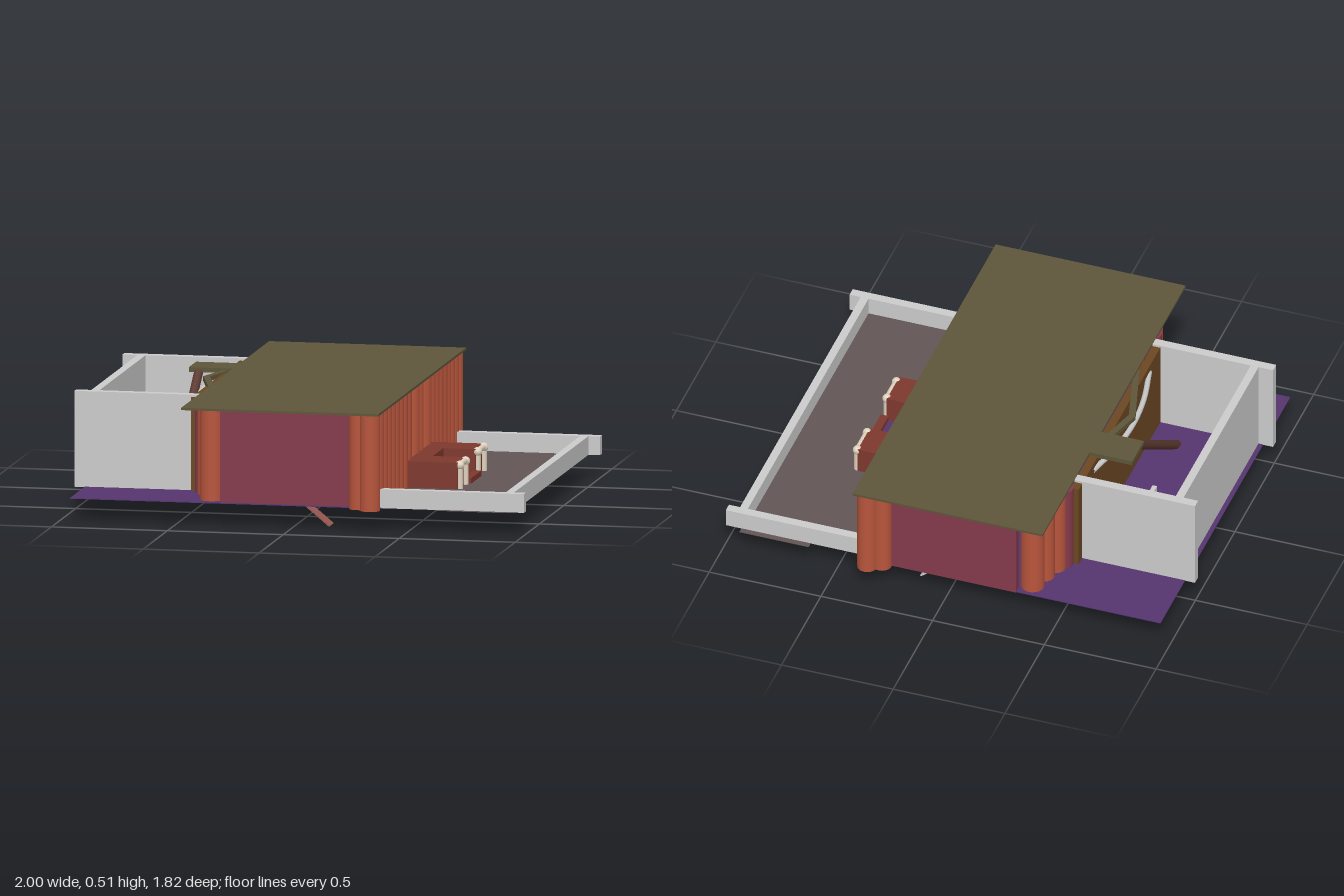
import * as THREE from 'three';

const mat = (color) => new THREE.MeshStandardMaterial({ color, side: THREE.DoubleSide });
const M = {
  grey: mat(0xcccccc), log: mat(0xb8553c), wall: mat(0x843a4c), roof: mat(0x5e563a),
  ground: mat(0x56356f), patio: mat(0x625556), brick: mat(0x7e382d), cream: mat(0xe0d2bf),
  timber: mat(0x6b4722), post: mat(0x5c3a30), plank: mat(0x9a5a52),
};

export function createModel() {
  const g = new THREE.Group();
  const add = (name, geo, m, x = 0, y = 0, z = 0) => {
    const mesh = new THREE.Mesh(geo, m);
    mesh.name = name;
    mesh.position.set(x, y, z);
    g.add(mesh);
    return mesh;
  };
  // Box given by its limits on each axis
  const box = (name, m, x0, x1, y0, y1, z0, z1) =>
    add(name, new THREE.BoxGeometry(x1 - x0, y1 - y0, z1 - z0), m,
      (x0 + x1) / 2, (y0 + y1) / 2, (z0 + z1) / 2);
  // Square or round bar between two points
  const bar = (name, m, a, b, r, sides = 12) => {
    const A = new THREE.Vector3(...a), B = new THREE.Vector3(...b);
    const d = B.clone().sub(A);
    const mesh = add(name, new THREE.CylinderGeometry(r, r, d.length(), sides), m);
    mesh.position.copy(A).add(B).multiplyScalar(0.5);
    mesh.quaternion.setFromUnitVectors(new THREE.Vector3(0, 1, 0), d.normalize());
    return mesh;
  };
  const log = (x, z, m = M.log, r = 0.043) => bar('logColumn', m, [x, 0.095, z], [x, 0.505, z], r, 20);

  // Ground and patio floor
  box('ground', M.ground, -0.955, 0.39, 0.098, 0.102, -0.815, 0.83);
  box('hearthGround', M.ground, 0.39, 0.6, 0.098, 0.103, -0.255, 0.275);
  box('patioFloor', M.patio, 0.38, 0.93, 0.1, 0.102, -0.78, 0.8);
  box('patioEdge', M.patio, 0.62, 0.93, 0.098, 0.101, -0.815, 0.83);

  // Low patio walls
  box('patioWallBack', M.grey, 0.38, 1, 0.1, 0.18, -0.79, -0.75);
  box('patioWallFront', M.grey, 0.38, 1, 0.1, 0.18, 0.78, 0.82);
  box('patioWallEnd', M.grey, 0.915, 0.95, 0.1, 0.18, -0.75, 0.78);

  // Tall courtyard walls
  box('courtWallBack', M.grey, -1, -0.46, 0.1, 0.51, -0.505, -0.465);
  box('courtWallFront', M.grey, -1, -0.46, 0.1, 0.51, 0.485, 0.525);
  box('courtWallEnd', M.grey, -0.935, -0.9, 0.1, 0.51, -0.465, 0.485);

  // Flat roof
  box('roof', M.roof, -0.46, 0.39, 0.505, 0.515, -0.91, 0.905);

  // Log facade with two recessed doors
  for (let i = 0; i < 22; i++) {
    const z = 0.86 - i * 0.0814;
    const door = (z > 0.09 && z < 0.19) || (z < -0.09 && z > -0.18);
    if (!door) log(0.345, z);
  }
  box('doorWall', M.wall, 0.29, 0.31, 0.1, 0.505, -0.78, 0.8);

  // End walls and the staggered logs at their corners
  for (const s of [-1, 1]) {
    box('endWall', M.wall, -0.31, 0.3, 0.1, 0.505, s * 0.8 - 0.02, s * 0.8 + 0.02);
    log(0.29, s * 0.82);
    log(-0.36, s * 0.75, M.log, 0.05);
    log(-0.385, s * 0.67);
    log(-0.41, s * 0.6);
    log(-0.435, s * 0.56, M.wall, 0.038);
  }

  // Timber wall facing the courtyard
  box('timberWall', M.timber, -0.495, -0.46, 0.1, 0.5, -0.55, 0.54);

  // Pointed canopy beams with a pale arch below
  for (const s of [-1, 1]) {
    const shape = new THREE.Shape([[-0.555, 0], [-0.525, 0], [-0.45, 0.27], [-0.45, 0.36]]
      .map(([x, z]) => new THREE.Vector2(x, -z * s)));
    const beam = add('canopyBeam', new THREE.ExtrudeGeometry(shape, { depth: 0.02, bevelEnabled: false }),
      M.roof, 0, 0.485, 0);
    beam.rotation.x = -Math.PI / 2;
  }
  const arch = new THREE.CatmullRomCurve3([[-0.49, -0.36], [-0.53, -0.18], [-0.545, 0], [-0.53, 0.18], [-0.49, 0.36]]
    .map(([x, z]) => new THREE.Vector3(x, 0.46, z)));
  add('canopyArch', new THREE.TubeGeometry(arch, 24, 0.012, 8), M.grey);
  box('courtLamp', M.grey, -0.645, -0.625, 0.1, 0.14, -0.02, 0.02);

  // Courtyard slab on a leaning post
  box('courtSlab', M.roof, -0.65, -0.46, 0.495, 0.515, -0.31, -0.16);
  bar('leaningPost', M.post, [-0.61, 0.5, -0.18], [-0.61, 0.08, 0.39], 0.02, 8);

  // Brick hearth around a sunken pit
  const outer = [[0.38, -0.255], [0.6, -0.255], [0.6, 0.275], [0.38, 0.275]];
  const hearth = new THREE.Shape(outer.map(([x, z]) => new THREE.Vector2(x, -z)));
  hearth.holes.push(new THREE.Path([[0.46, -0.1], [0.46, 0.115], [0.59, 0.115], [0.59, -0.1]]
    .map(([x, z]) => new THREE.Vector2(x, -z))));
  box('hearthBack', M.brick, 0.38, 0.46, 0.1, 0.215, -0.255, 0.275);
  box('hearthArm', M.brick, 0.46, 0.6, 0.1, 0.215, -0.255, -0.1);
  box('hearthArm', M.brick, 0.46, 0.6, 0.1, 0.215, 0.115, 0.275);
  const sill = add('hearthSill', new THREE.ExtrudeGeometry(hearth, { depth: 0.015, bevelEnabled: false }), M.brick, 0, 0.1, 0);
  sill.rotation.x = -Math.PI / 2;
  box('hearthStep', M.brick, 0.59, 0.625, 0.1, 0.125, -0.1, 0.115);

  // Cream rails on the hearth arms
  for (const [z0, z1] of [[-0.24, -0.115], [0.135, 0.255]]) {
    bar('rail', M.cream, [0.605, 0.205, z0], [0.605, 0.205, z1], 0.012);
    for (const z of [z0, z1]) {
      bar('railPost', M.cream, [0.605, 0.1, z], [0.605, 0.2, z], 0.014);
      add('railKnob', new THREE.SphereGeometry(0.02, 12, 8), M.cream, 0.605, 0.202, z);
    }
  }

  // Slanted planks and a footing below the floor
  for (const [z, m] of [[0.72, M.plank], [-0.69, M.grey]]) {
    const p = add('slantedPlank', new THREE.BoxGeometry(0.138, 0.006, 0.08), m, 0.096, 0.049, z);
    p.rotation.z = -0.69;
  }
  box('footing', M.brick, 0.26, 0.3, 0.085, 0.1, -0.005, 0.035);
  return g;
}
